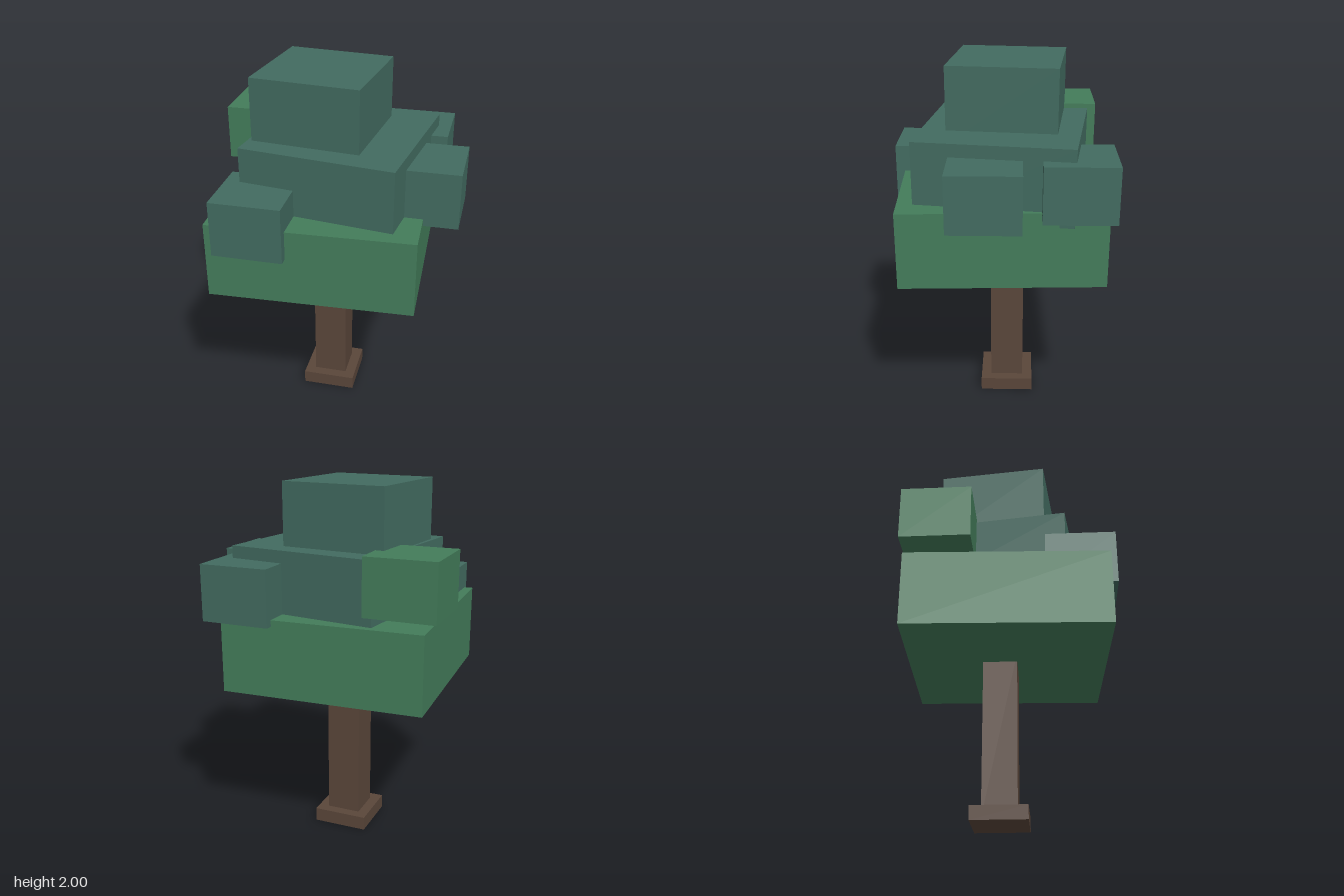
import * as THREE from 'three';

export function createModel() {
  const tree = new THREE.Group();
  tree.name = 'tree';

  const material = (name, color) => {
    const m = new THREE.MeshStandardMaterial({ color });
    m.name = name;
    return m;
  };
  const bark = material('brown bark', 0x5a463a);
  const green = material('leaf green', 0x437c5a);
  const teal = material('teal green', 0x426b60);

  // Square block: centre x/z, bottom and top heights, width and turn about y
  const block = (name, mat, x, z, bottom, top, width, turn = 0) => {
    const mesh = new THREE.Mesh(new THREE.BoxGeometry(width, top - bottom, width), mat);
    mesh.name = name;
    mesh.position.set(x, (bottom + top) / 2, z);
    mesh.rotation.y = turn;
    tree.add(mesh);
  };

  // Trunk and its foot
  block('trunkFoot', bark, -0.044, -0.044, 0, 0.077, 0.305);
  block('trunk', bark, -0.044, -0.044, 0.02, 0.95, 0.19);

  // Three stacked, slightly turned foliage layers
  block('lowerCanopy', green, -0.058, -0.003, 0.9, 1.322, 1.104, 0.041);
  block('middleCanopy', teal, 0.016, -0.029, 1.24, 1.66, 0.847, -0.133);
  block('topCanopy', teal, -0.096, -0.044, 1.58, 2, 0.593, -0.106);

  // Small leaf clumps around the canopy
  const clumps = [
    ['backRightClump', green, -0.503, -0.355, 1.38],
    ['frontRightClump', teal, -0.349, 0.413, 1.165],
    ['leftClump', teal, 0.499, 0.064, 1.284],
    ['backLeftClump', teal, 0.371, -0.417, 1.288],
  ];
  for (const [name, mat, x, z, bottom] of clumps) {
    block(name, mat, x, z, bottom, bottom + 0.305, 0.381);
  }

  return tree;
}
